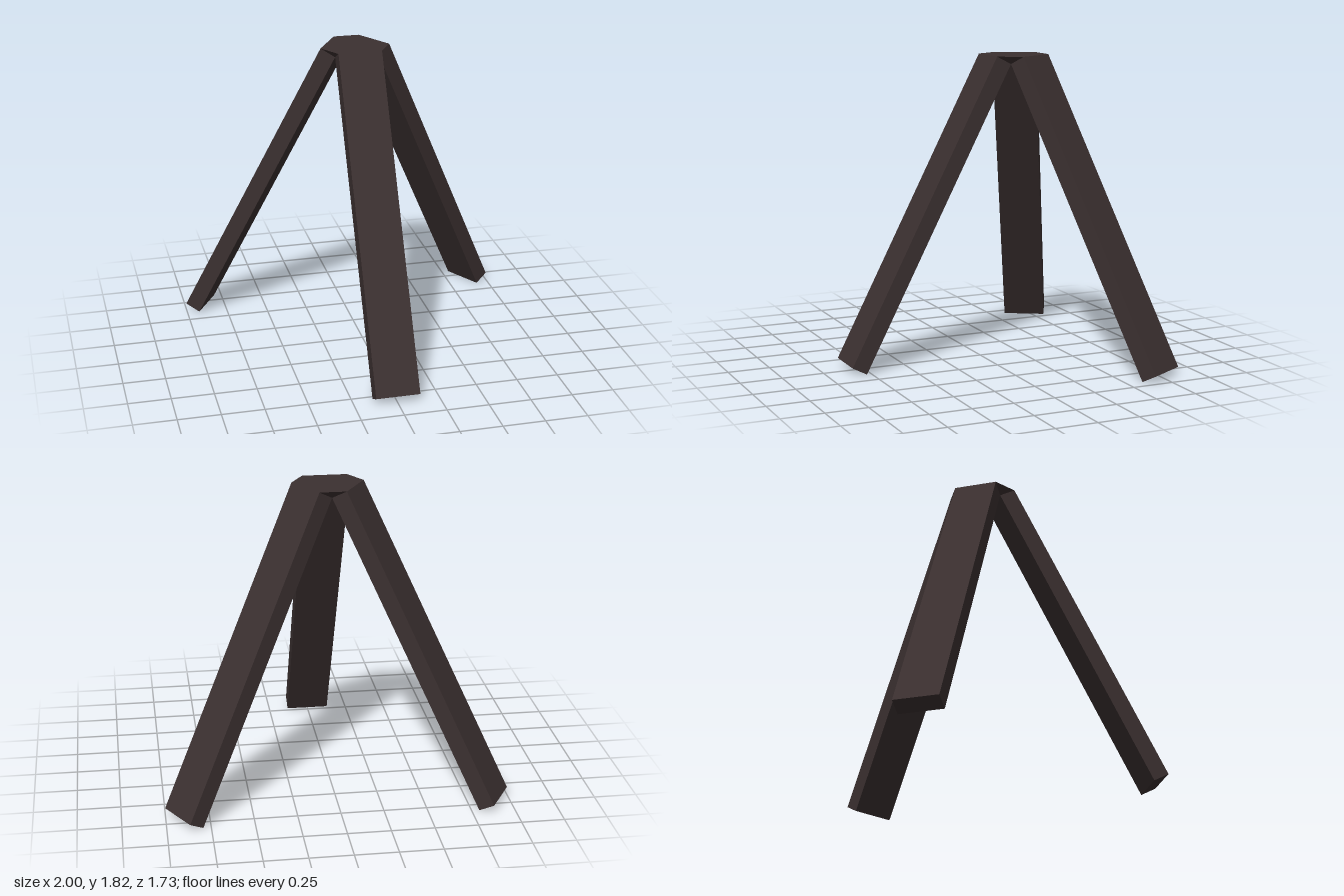
import * as THREE from 'three';
import { ConvexGeometry } from 'three/addons/geometries/ConvexGeometry.js';

export function createModel() {
  const model = new THREE.Group();
  model.name = 'tripodStand';
  const darkBrown = new THREE.MeshStandardMaterial({ color: 0x3b3030 });
  darkBrown.name = 'darkBrown';

  const half = 0.13;                 // half the width of a leg
  const outerTop = [0.164, 1.815];   // leg profile corners: [radius, height]
  const innerTop = [half * Math.tan(Math.PI / 6), 1.769];
  const innerFoot = [0.993, 0];
  const outerFoot = [1.08, 0.046];

  const tripod = new THREE.Group();
  tripod.name = 'tripod';
  tripod.position.z = -0.214;
  model.add(tripod);

  // Legs: one slanted plank, repeated around the hub
  const profile = new THREE.Shape(
    [outerTop, innerTop, innerFoot, outerFoot].map(([r, y]) => new THREE.Vector2(r, y))
  );
  const legGeometry = new THREE.ExtrudeGeometry(profile, { depth: 2 * half, bevelEnabled: false });
  legGeometry.translate(0, 0, -half);

  const hubPoints = [];
  const up = new THREE.Vector3(0, 1, 0);
  [['frontLeg', -90], ['backLeftLeg', 30], ['backRightLeg', 150]].forEach(([name, degrees]) => {
    const angle = THREE.MathUtils.degToRad(degrees);
    const leg = new THREE.Mesh(legGeometry, darkBrown);
    leg.name = name;
    leg.rotation.y = angle;
    tripod.add(leg);

    // Upper end of each leg gives corners of the hub
    for (const side of [-half, half]) {
      hubPoints.push(new THREE.Vector3(outerTop[0], outerTop[1], side).applyAxisAngle(up, angle));
    }
    // Neighbouring legs share their inner corner
    hubPoints.push(new THREE.Vector3(innerTop[0], innerTop[1], half).applyAxisAngle(up, angle));
  });

  // Hub: six-sided top narrowing to a triangle below
  const hub = new THREE.Mesh(new ConvexGeometry(hubPoints), darkBrown);
  hub.name = 'hub';
  tripod.add(hub);

  return model;
}
